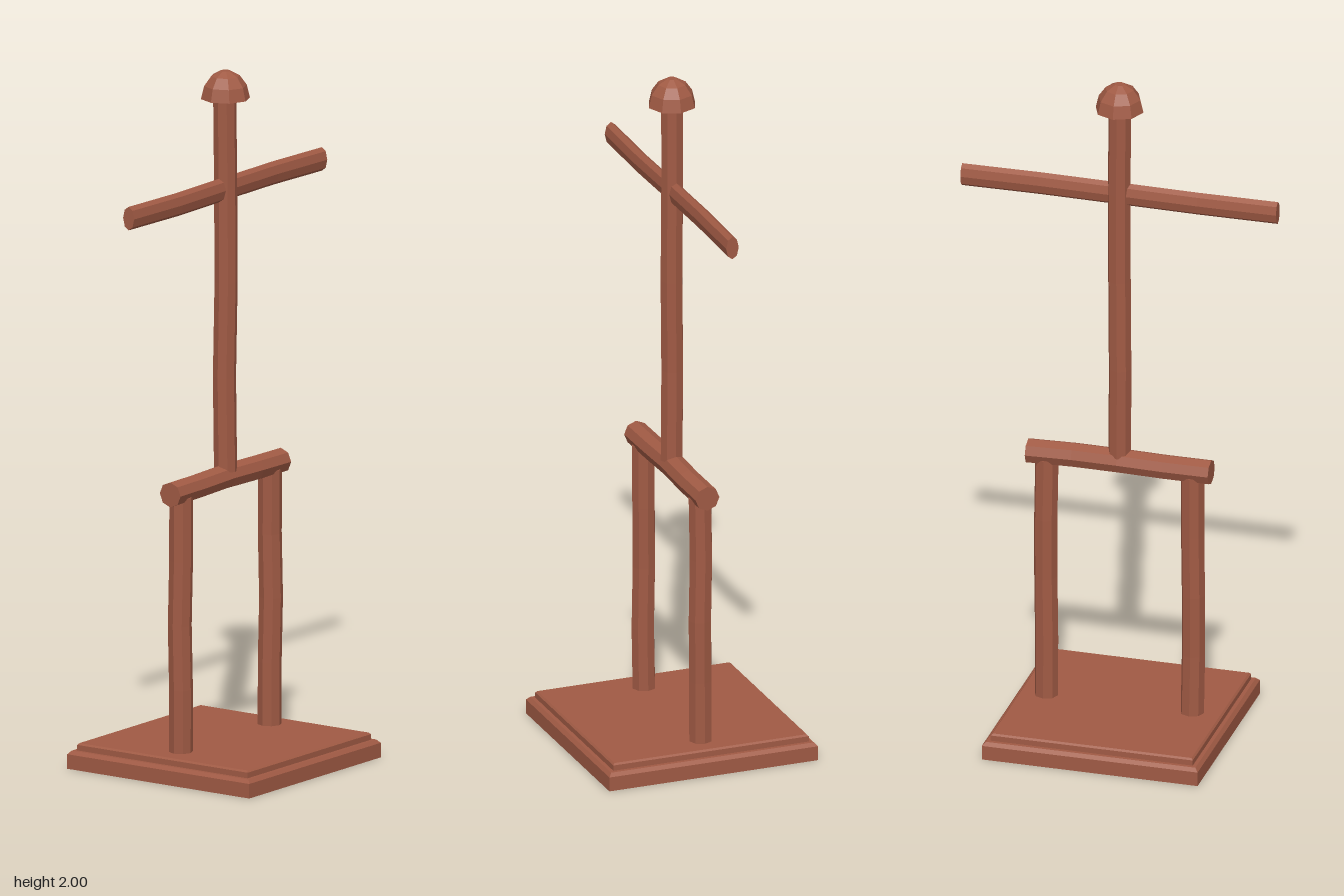
import * as THREE from 'three';

export function createModel() {
  const group = new THREE.Group();
  const wood = new THREE.MeshStandardMaterial({ color: 0xa05a44, flatShading: true });
  wood.name = 'red brown wood';

  const add = (name, geometry, x = 0, y = 0, z = 0) => {
    const mesh = new THREE.Mesh(geometry, wood);
    mesh.name = name;
    mesh.position.set(x, y, z);
    group.add(mesh);
    return mesh;
  };

  // Octagonal pole with a slightly uneven, hand-hewn centre line
  const pole = (radius, length, phase) => {
    const geo = new THREE.CylinderGeometry(radius, radius, length, 8, 4);
    const p = geo.attributes.position;
    for (let i = 0; i < p.count; i++) {
      const t = p.getY(i) / length;
      p.setX(i, p.getX(i) + 0.002 * Math.sin(t * 7 + phase));
      p.setZ(i, p.getZ(i) + 0.002 * Math.sin(t * 9 + phase * 2));
    }
    geo.computeVertexNormals();
    return geo;
  };

  // Square plinth: stepped profile swept round four sides
  const half = [[0, 0], [0.316, 0], [0.316, 0.042], [0.307, 0.052], [0.296, 0.052],
    [0.296, 0.068], [0.291, 0.073], [0, 0.073]];
  const plinth = new THREE.LatheGeometry(
    half.map(([r, y]) => new THREE.Vector2(r * Math.SQRT2, y)), 4, Math.PI / 4);
  add('plinth', plinth, -0.004, 0, -0.002);

  // Two legs
  for (const side of [-1, 1]) {
    add(side > 0 ? 'leftLeg' : 'rightLeg', pole(0.034, 0.74, side), side * 0.215, 0.44, 0);
  }

  // Hip beam lying across the legs
  add('hipBeam', pole(0.036, 0.535, 2), 0, 0.826, 0).rotation.z = Math.PI / 2;

  // Tall central post
  add('centralPost', pole(0.033, 1.09, 0.5), 0, 1.39, 0);

  // Cross arm, narrower from front to back
  const arm = add('crossArm', pole(0.034, 0.925, 3), -0.001, 1.659, 0);
  arm.rotation.z = Math.PI / 2;
  arm.scale.z = 0.56;

  // Faceted domed cap
  const dome = [[0, 1.92], [0.07, 1.92], [0.061, 1.957], [0.041, 1.985], [0.014, 2], [0, 2]];
  add('domeCap', new THREE.LatheGeometry(dome.map(([r, y]) => new THREE.Vector2(r, y)), 8));

  return group;
}
